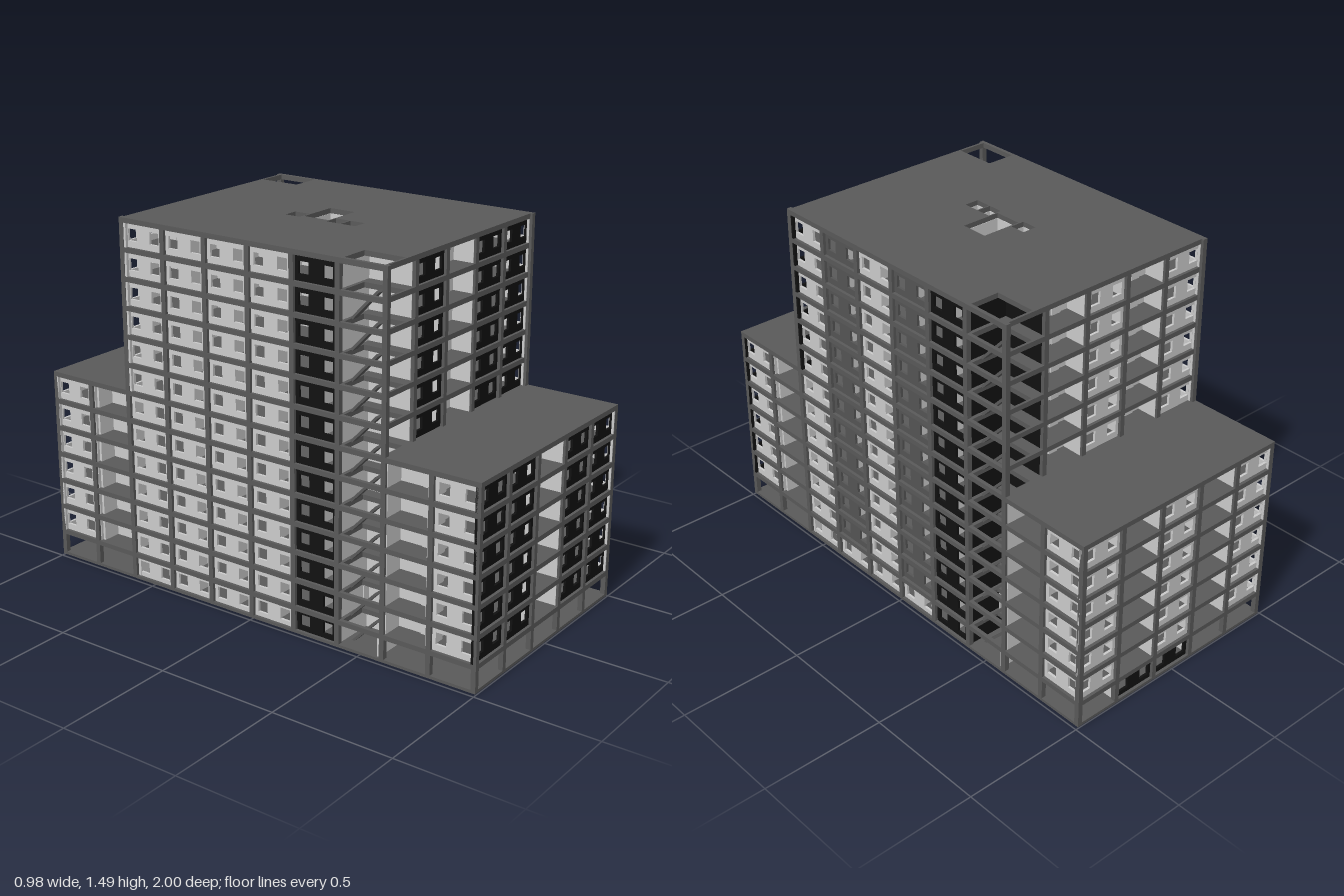
import * as THREE from 'three';

const mat = (color) => new THREE.MeshStandardMaterial({ color, flatShading: true, side: THREE.DoubleSide });
const GREY = mat(0xcccccc), FRAME = mat(0x5a5a5a), DARK = mat(0x111111), SHADE = mat(0x555555);

const HX = 0.49, BX = HX * 2 / 5, BZ = 0.2;      // half width, bay widths
const STEP = 0.114, G = 0.112, T = 0.02;         // floor height, ground storey, slab thickness
const LOW = 6, HIGH = 12;                        // upper storeys of wings and tower
const top = (k) => G + STEP * k;                 // top of slab k

function rect(shape, x0, x1, y0, y1) {
  shape.moveTo(x0, y0); shape.lineTo(x1, y0); shape.lineTo(x1, y1); shape.lineTo(x0, y1); shape.closePath();
  return shape;
}

// Shaft openings through the slabs: x0, x1, z0, z1
const stairs = [[0.355, 0.475, -0.59, -0.42], [-0.475, -0.355, 0.42, 0.59]];
const core = [[-0.07, 0.095, -0.058, 0.055], [-0.09, -0.03, -0.13, -0.065], [-0.09, -0.03, 0.06, 0.12], [-0.09, -0.03, 0.126, 0.19]];

function slabGeometry(halfZ) {
  const s = rect(new THREE.Shape(), -HX, HX, -halfZ, halfZ);
  for (const h of [...stairs, ...core]) s.holes.push(rect(new THREE.Path(), ...h));
  return new THREE.ExtrudeGeometry(s, { depth: T, bevelEnabled: false }).rotateX(Math.PI / 2);
}

// Wall panel with two square windows, centred on its bay
function windowPanel(h) {
  const s = rect(new THREE.Shape(), -0.098, 0.098, -h / 2, h / 2);
  for (const x of [-0.053, 0.053]) s.holes.push(rect(new THREE.Path(), x - 0.022, x + 0.022, -0.022, 0.025));
  return new THREE.ExtrudeGeometry(s, { depth: 0.01, bevelEnabled: false }).translate(0, 0, -0.022);
}

export function createModel() {
  const root = new THREE.Group();
  root.name = 'apartmentBlock';

  function add(parent, name, geo, material, x = 0, y = 0, z = 0) {
    const m = new THREE.Mesh(geo, material);
    m.name = name;
    m.position.set(x, y, z);
    parent.add(m);
    return m;
  }
  const box = (name, material, x0, x1, y0, y1, z0, z1) =>
    add(root, name, new THREE.BoxGeometry(x1 - x0, y1 - y0, z1 - z0), material, (x0 + x1) / 2, (y0 + y1) / 2, (z0 + z1) / 2);

  // Base and floor slabs
  box('baseSlab', FRAME, -HX, HX, 0, 0.012, -1, 1);
  const wide = slabGeometry(1), narrow = slabGeometry(0.6);
  for (let k = 0; k <= HIGH; k++) add(root, k === HIGH ? 'roofSlab' : 'floorSlab', k <= LOW ? wide : narrow, FRAME, 0, top(k), 0);

  // Perimeter columns
  const column = (x, z, y0, y1) => box('column', FRAME, x - 0.01, x + 0.01, y0, y1, z - 0.01, z + 0.01);
  for (const s of [-1, 1]) {
    for (let i = 0; i <= 10; i++) {
      const z = -1 + i * BZ, inTower = i >= 2 && i <= 8;
      column(s * (HX - 0.01), THREE.MathUtils.clamp(z, -0.99, 0.99), 0, top(inTower ? HIGH : LOW));
    }
    for (let i = 1; i < 5; i++) {
      column(-HX + i * BX, s * 0.99, 0, top(LOW));
      column(-HX + i * BX, s * 0.59, 0, top(HIGH));
    }
  }

  // Facade bays: each is a group looking outwards along its own +z
  const panelGeo = windowPanel(STEP - T), groundGeo = windowPanel(G - T - 0.012);
  const H = STEP - T;
  const plainGeo = new THREE.BoxGeometry(0.19, H, 0.01);
  const cheekGeo = new THREE.BoxGeometry(0.01, H, 0.09);
  const doorGeo = new THREE.BoxGeometry(0.04, H - 0.014, 0.006);
  function bay(kind, material, x, z, angle, k) {
    const g = new THREE.Group();
    g.name = kind === 'loggia' ? 'loggia' : 'windowBay';
    g.position.set(x, k < 0 ? (0.012 + G - T) / 2 : top(k) + H / 2, z);
    g.rotation.y = angle;
    if (kind === 'loggia') {
      add(g, 'loggiaBackWall', plainGeo, GREY, 0, 0, -0.1);
      for (const s of [-1, 1]) add(g, 'loggiaSideWall', cheekGeo, GREY, s * 0.092, 0, -0.055);
      add(g, 'loggiaDoor', doorGeo, GREY, 0.03, -0.007, -0.093);
    } else add(g, 'windowPanel', k < 0 ? groundGeo : panelGeo, material);
    root.add(g);
  }

  // End facades: W window, L loggia, - open stair corner (from -x to +x)
  const ends = [
    { z: 1, a: 0, k0: 0, k1: LOW, plan: 'WWLWW', m: DARK },
    { z: 0.6, a: 0, k0: LOW, k1: HIGH, plan: '-WLWW', m: DARK },
    { z: -1, a: Math.PI, k0: 0, k1: LOW, plan: 'WLWLW', m: GREY },
    { z: -0.6, a: Math.PI, k0: LOW, k1: HIGH, plan: 'WLWL-', m: GREY },
  ];
  for (const e of ends) {
    for (let k = e.k0; k < e.k1; k++) {
      [...e.plan].forEach((c, i) => {
        if (c !== '-') bay(c === 'L' ? 'loggia' : 'window', e.m, -HX + (i + 0.5) * BX, e.z, e.a, k);
      });
    }
  }

  // Long facades, the same plan turned half round; listed from the +z end of the +x side
  const sidePlan = 'WLWWWWW-LW';
  const shades = { 3: SHADE, 5: SHADE, 6: DARK };
  for (const s of [1, -1]) {
    [...sidePlan].forEach((c, i) => {
      if (c === '-') return;
      const z = s * (0.9 - i * BZ), tower = i >= 2 && i <= 7;
      const m = (s > 0 || i === 6) && shades[i] || GREY;
      for (let k = 0; k < (tower ? HIGH : LOW); k++) bay(c === 'L' ? 'loggia' : 'window', m, s * HX, z, s * Math.PI / 2, k);
      if (tower) bay('window', i === 6 ? DARK : GREY, s * HX, z, s * Math.PI / 2, -1);
    });
  }

  // Ground storey: open ends with recessed walls and one enclosed room at the back
  box('groundWall', GREY, -HX + 0.01, HX - 0.01, 0, G - T, 0.575, 0.585);
  box('groundWall', GREY, -HX + 0.01, HX - 0.01, 0, G - T, -0.585, -0.575);
  box('groundDoor', GREY, -0.335, -0.3, 0.012, 0.082, 0.583, 0.59);
  for (const x of [-BX / 2, BX * 1.5]) box('groundRoomWall', GREY, x - 0.005, x + 0.005, 0, G - T, -0.98, -0.58);
  for (const i of [2, 3]) bay('window', DARK, -HX + (i + 0.5) * BX, -1, Math.PI, -1);

  // Inner partitions seen through the windows
  const yl = top(LOW) - T, yh = top(HIGH) - T;
  for (const s of [-1, 1]) {
    const x = s * 0.295;
    box('corridorWall', GREY, x - 0.005, x + 0.005, 0.012, yh, -0.4, 0.4);
    box('crossWall', GREY, -0.295, 0.295, 0.012, yh, s * 0.4 - 0.005, s * 0.4 + 0.005);
    box('wingWall', GREY, -HX + 0.02, HX - 0.02, G, yl, s * 0.78 - 0.005, s * 0.78 + 0.005);
    for (let i = -2; i <= 1; i++) box('roomWall', GREY, s > 0 ? 0.3 : -0.47, s > 0 ? 0.47 : -0.3, 0.012, yh, i * 0.2 + 0.095, i * 0.2 + 0.105);
  }

  // Corner stairwells, open to two sides above the wings
  const flight = (name, x, z, len, k, dir) => {
    const m = add(root, name, new THREE.BoxGeometry(0.03, 0.01, Math.hypot(len, STEP)), FRAME, x, top(k) - STEP / 2, z);
    m.rotation.x = dir * Math.atan2(STEP, len);
  };
  for (const s of [1, -1]) {
    const m = s > 0 ? DARK : GREY;
    const wx = s * 0.3, wz = -s * 0.4;
    box('stairInnerWall', m, wx - 0.005, wx + 0.005, 0.012, yh, Math.min(wz, -s * 0.585), Math.max(wz, -s * 0.585));
    box('stairBackWall', m, Math.min(wx, s * 0.475), Math.max(wx, s * 0.475), 0.012, yh, wz - 0.005, wz + 0.005);
    box('stairEndWall', m, Math.min(wx, s * 0.475), Math.max(wx, s * 0.475), G, yl, -s * 0.595 - 0.004, -s * 0.595 + 0.004);
    box('stairDoor', GREY, s * 0.32 - 0.018, s * 0.32 + 0.018, G, G + 0.08, wz - s * 0.012, wz - s * 0.012 + 0.004);
    for (let k = 0; k < HIGH; k++) flight('cornerStairFlight', s * 0.415, -s * 0.475, 0.11, k, s);
  }

  // Central stair and service shafts
  for (const [x0, x1, z0, z1] of core) {
    for (const x of [x0, x1]) box('shaftWall', GREY, x - 0.002, x + 0.002, 0.012, yh, z0, z1);
    for (const z of [z0, z1]) box('shaftWall', GREY, x0, x1, 0.012, yh, z - 0.002, z + 0.002);
  }
  for (let k = 0; k < HIGH; k++) {
    flight('coreStairFlight', 0.05, 0, 0.1, k, 1);
    flight('coreStairFlight', -0.03, 0, 0.1, k, -1);
  }

  return root;
}
